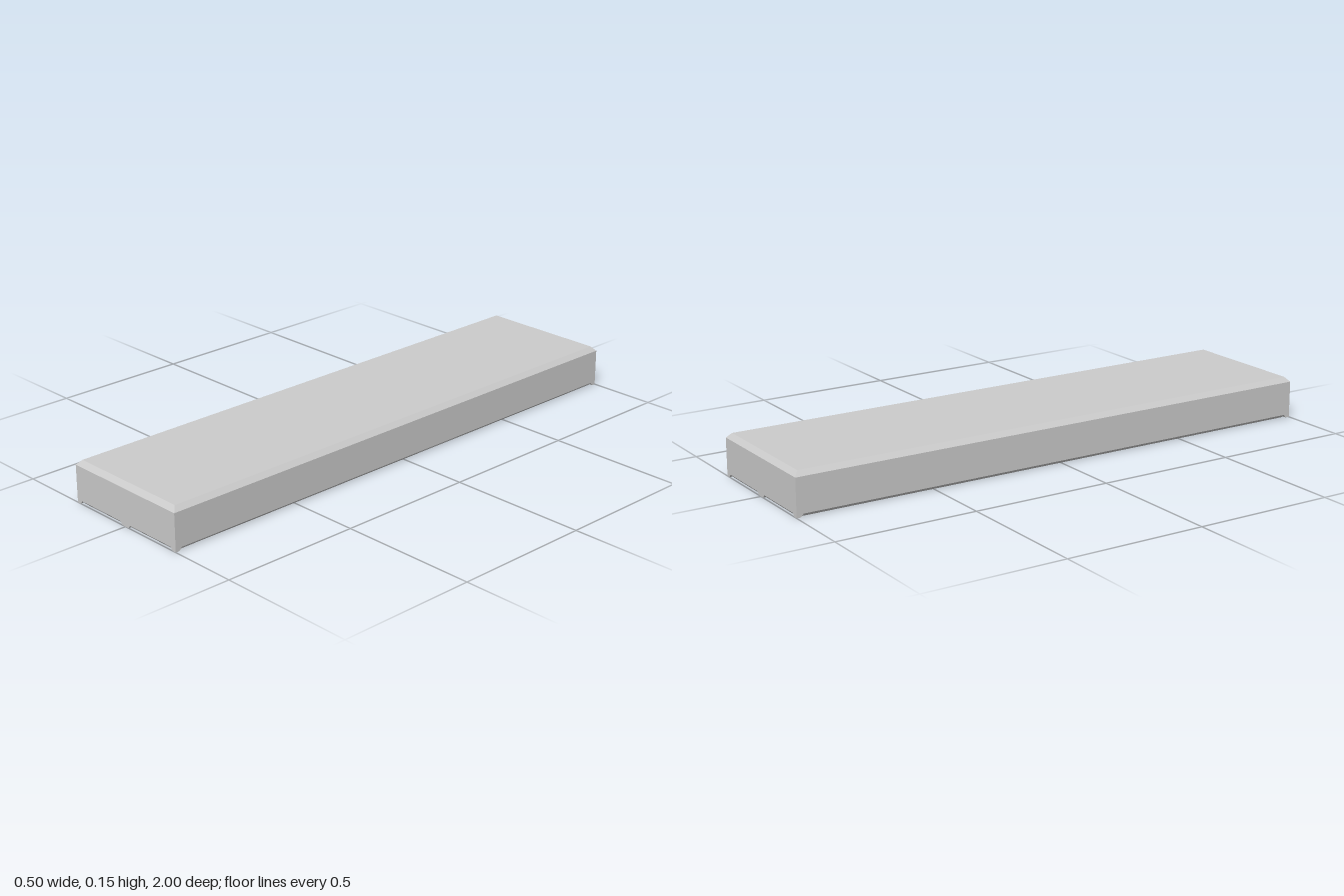
import * as THREE from 'three';

const material = new THREE.MeshStandardMaterial({ color: 0xcccccc, flatShading: true });
const smooth = new THREE.MeshStandardMaterial({ color: 0xcccccc });

// Box spanning two corners; "move" may shift its vertices to cut slopes
function block(group, name, [x0, y0, z0], [x1, y1, z1], move) {
  const geo = new THREE.BoxGeometry(x1 - x0, y1 - y0, z1 - z0);
  geo.translate((x0 + x1) / 2, (y0 + y1) / 2, (z0 + z1) / 2);
  if (move) {
    const p = geo.attributes.position;
    const v = new THREE.Vector3();
    for (let i = 0; i < p.count; i++) {
      v.fromBufferAttribute(p, i);
      move(v);
      p.setXYZ(i, v.x, v.y, v.z);
    }
    geo.computeVertexNormals();
  }
  const mesh = new THREE.Mesh(geo, material);
  mesh.name = name;
  group.add(mesh);
  return mesh;
}

export function createModel() {
  const model = new THREE.Group();
  model.name = 'ribbedPanel';
  const W = 0.25, L = 1, T = 0.025; // half width, half length, wall thickness
  const lip = 0.011, ceil = 0.122, shoulder = 0.133, top = 0.15, bevel = 0.016;

  // Top plate with bevelled rim
  block(model, 'topPlate', [-W, ceil, -L], [W, shoulder, L]);
  block(model, 'bevelledTop', [-W, shoulder, -L], [W, top, L], (v) => {
    if (v.y > shoulder + 0.001) {
      v.x -= Math.sign(v.x) * bevel;
      v.z -= Math.sign(v.z) * bevel;
    }
  });

  for (const s of [-1, 1]) {
    // Long and short outer walls
    const x0 = s > 0 ? W - T : -W, x1 = x0 + T;
    const z0 = s > 0 ? L - T : -L, z1 = z0 + T;
    block(model, 'sideWall', [x0, lip, -L], [x1, ceil, L]);
    block(model, 'endWall', [-W + T, lip, z0], [W - T, ceil, z1]);

    // Lower wall edges, sloped on the outside
    block(model, 'sideLip', [x0, 0, -L + T], [x1, lip, L - T], (v) => {
      if (v.y < 0.001 && Math.abs(v.x) > W - 0.001) v.x -= s * lip;
    });
    block(model, 'endLip', [-W + T, 0, z0], [W - T, lip, z1], (v) => {
      if (v.y < 0.001 && Math.abs(v.z) > L - 0.001) v.z -= s * lip;
    });

    // Corner feet tapering inwards
    for (const t of [-1, 1]) {
      const fz = t > 0 ? L - T : -L;
      block(model, 'cornerFoot', [x0, 0, fz], [x1, lip, fz + T], (v) => {
        if (v.y > 0.001) return;
        if (Math.abs(v.x) < W - 0.001) v.x += s * 0.01;
        if (Math.abs(v.z) < L - 0.001) v.z += t * 0.01;
      });
    }

    // Round rod running through each row of cells
    const rod = new THREE.Mesh(new THREE.CylinderGeometry(0.02, 0.02, 2 * L - 0.03, 20), smooth);
    rod.rotation.x = Math.PI / 2;
    rod.position.set(s * 0.125, 0.065, 0);
    rod.name = 'rod';
    model.add(rod);
  }

  // Central rib with a tapered flat foot along its whole length
  block(model, 'centreRib', [-0.015, lip, -L + T], [0.015, ceil, L - T]);
  block(model, 'centreRail', [-0.025, 0, -L], [0.025, lip, L], (v) => {
    if (v.y < 0.001) v.x *= 0.6;
  });

  // Cross ribs dividing the underside into square cells
  for (let i = 1; i < 8; i++) {
    const z = -L + i * 0.25;
    block(model, 'crossRib', [-W + T, 0.006, z - 0.014], [W - T, ceil, z + 0.014], (v) => {
      if (v.y < 0.05) v.z = z + (v.z - z) * 0.7;
    });
  }
  return model;
}
